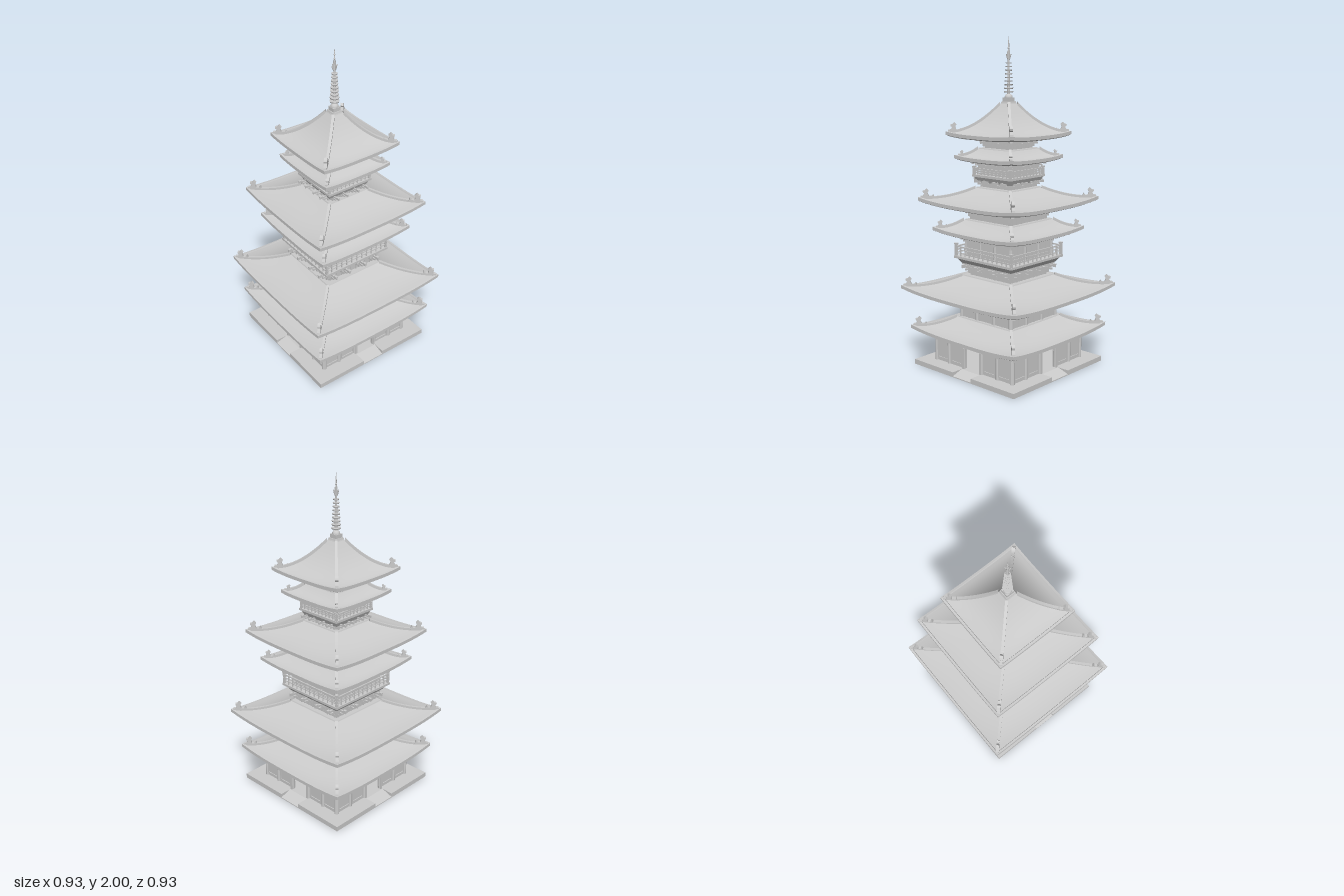
import * as THREE from 'three';
import { mergeGeometries, toCreasedNormals } from 'three/addons/utils/BufferGeometryUtils.js';

const material = new THREE.MeshStandardMaterial({ color: 0xcccccc, side: THREE.DoubleSide });

const box = (w, h, d, x = 0, y = 0, z = 0) => new THREE.BoxGeometry(w, h, d).translate(x, y, z);

function add(parent, name, geo) {
  const mesh = new THREE.Mesh(geo, material);
  mesh.name = name;
  parent.add(mesh);
  return mesh;
}

// Repeats a part on all four sides (or on the four diagonals)
function ring(parent, name, geo, offset = 0) {
  for (let k = 0; k < 4; k++) add(parent, name, geo).rotation.y = offset + k * Math.PI / 2;
}

// Flat silhouette in the x-y plane, given thickness and centred on z = 0
function slab(points, depth) {
  const shape = new THREE.Shape(points.map(p => new THREE.Vector2(p[0], p[1])));
  return new THREE.ExtrudeGeometry(shape, { depth, bevelEnabled: false }).translate(0, 0, -depth / 2);
}

// Square frustum: half widths a (bottom) and b (top)
function flare(a, b, y0, y1) {
  return new THREE.CylinderGeometry(b * Math.SQRT2, a * Math.SQRT2, y1 - y0, 4).toNonIndexed()
    .rotateY(Math.PI / 4).translate(0, (y0 + y1) / 2, 0);
}
const addFlare = (parent, name, a, b, y0, y1) => {
  const geo = flare(a, b, y0, y1);
  geo.computeVertexNormals();
  return add(parent, name, geo);
};

// Curved hip roof: y = underside of the eave, R = eave half width, r = top half width
function roof(parent, name, { y, R, top, r, wall, guard = 0.062 }) {
  const group = new THREE.Group();
  group.name = name;
  parent.add(group);
  const rim = 0.026, start = y + 0.022;
  const lift = (q, u) => 0.05 * R * Math.pow(q / R, 4) * Math.pow(Math.abs(u), 3);
  const slope = t => [R - 0.016 + (r - R + 0.016) * t, start + (top - start) * (0.25 * t + 0.75 * t * t)];
  const rows = [[wall, y + 0.016], [R * 0.82, y + 0.014], [R * 0.82, y + 0.006], [R - 0.016, y + 0.006],
    [R - 0.014, y], [R, y + 0.006], [R, y + rim], [R - 0.013, y + rim + 0.002]];
  for (let i = 0; i <= 12; i++) rows.push(slope(i / 12));

  // One side, lofted row by row
  const n = 16, positions = [], index = [];
  rows.forEach(([q, h], j) => {
    for (let i = 0; i <= n; i++) {
      const u = i / n * 2 - 1;
      positions.push(u * q, h + lift(q, u), q);
      if (i < n && j < rows.length - 1) {
        const a = j * (n + 1) + i, d = a + n + 1;
        index.push(a, a + 1, d + 1, a, d + 1, d);
      }
    }
  });
  let side = new THREE.BufferGeometry();
  side.setAttribute('position', new THREE.Float32BufferAttribute(positions, 3));
  side.setIndex(index);
  ring(group, 'roofSlope', toCreasedNormals(side.toNonIndexed(), 0.4));

  // Hip ridges following the slope
  const upper = [], lower = [];
  for (let i = 0; i <= 12; i++) {
    const [q, h] = slope(i / 12);
    upper.push([q * Math.SQRT2, h + lift(q, 1) + 0.012]);
    lower.unshift([q * Math.SQRT2, h + lift(q, 1) - 0.006]);
  }
  ring(group, 'hipRidge', slab([...upper, ...lower], 0.016), Math.PI / 4);

  // Curled guardian figures at the corners
  const silhouette = [[-1.1, 0.1], [-0.95, 0.5], [-0.75, 0.3], [-0.45, 0.3], [-0.3, 0.65], [-0.45, 0.9], [-0.2, 1.15],
    [0, 0.95], [0.25, 0.9], [0.2, 0.7], [0.05, 0.6], [0.2, 0.35], [0.5, 0.3], [0.55, 0]];
  const s = guard * 0.85, edge = (R - 0.03) * Math.SQRT2;
  const figure = slab(silhouette.map(p => [p[0] * s, p[1] * s]), 0.018);
  ring(group, 'cornerFigure', figure.translate(edge, start + lift(R, 1) * 0.8, 0), Math.PI / 4);

  // Hip rafters below the corners
  const tip = (R - 0.04) * Math.SQRT2, inner = wall * Math.SQRT2;
  ring(group, 'hipRafter', slab([[inner, y - 0.012], [tip - 0.05, y - 0.008], [tip - 0.05, y],
    [tip, y + 0.004], [tip, y + 0.02], [inner, y + 0.02]], 0.018), Math.PI / 4);

  // Raised collar closing the top
  addFlare(group, 'roofCollar', r + 0.004, r - 0.004, top - 0.012, top + 0.006);
}

// Stacked bracket set, bottom at y = 0, wall face at z = 0
function bracketSet(h, w) {
  const b = w * 0.2, parts = [box(b, h * 0.3, 0.024, 0, h * 0.15, 0.006)];
  parts.push(box(w * 0.6, h * 0.2, 0.012, 0, h * 0.4, 0.01), box(w, h * 0.2, 0.012, 0, h * 0.75, 0.014));
  parts.push(box(b * 0.6, h * 0.2, 0.05, 0, h * 0.42, 0.02), box(b * 0.6, h * 0.2, 0.08, 0, h * 0.75, 0.035));
  for (const x of [-0.4, 0, 0.4]) {
    parts.push(box(b, h * 0.15, 0.024, x * w, h * 0.925, 0.016));
    parts.push(box(b * 0.8, h * 0.15, 0.022, x * w * 0.6, h * 0.57, 0.012));
  }
  parts.push(box(b, h * 0.15, 0.02, 0, h * 0.92, 0.065));
  return mergeGeometries(parts);
}

function brackets(parent, wall, xs, y, h, w) {
  ring(parent, 'brackets', mergeGeometries(xs.map(x => bracketSet(h, w).translate(x, y, wall))));
}

function columns(parent, wall, xs, y0, y1, radius) {
  const posts = xs.map(x => new THREE.CylinderGeometry(radius, radius, y1 - y0, 12).translate(x, (y0 + y1) / 2, wall));
  ring(parent, 'columns', mergeGeometries(posts));
}

const mirror = (...xs) => xs.flatMap(x => [-x, x]);

// Platform with railing
function balcony(parent, R, y, h, posts) {
  addFlare(parent, 'balconySupport', R * 0.86, R * 0.95, y - 0.045, y - 0.014);
  add(parent, 'balconyFloor', box(2 * R, 0.014, 2 * R, 0, y - 0.007, 0));
  const z = R - 0.01, parts = [];
  for (const [f, t] of [[0.3, 0.005], [0.6, 0.005], [0.9, 0.008]]) parts.push(box(2 * R, t, t, 0, y + f * h, z));
  for (let i = 1; i < posts; i++) parts.push(box(0.006, h * 0.9, 0.006, (i / posts * 2 - 1) * z, y + h * 0.45, z));
  parts.push(box(0.014, h * 1.15, 0.014, z, y + h * 0.57, z), box(0.02, 0.008, 0.02, z, y + h * 1.15, z));
  ring(parent, 'railing', mergeGeometries(parts));
}

// Square storey with beams, window frames and mullions
function storey(parent, name, wall, y0, y1, bays) {
  const group = new THREE.Group();
  group.name = name;
  parent.add(group);
  const h = y1 - y0, step = 2 * wall / bays;
  add(group, 'walls', box(2 * wall, h, 2 * wall, 0, (y0 + y1) / 2, 0));
  const parts = [box(2 * wall + 0.01, 0.01, 0.012, 0, y0 + 0.005, wall), box(2 * wall + 0.01, 0.01, 0.012, 0, y1 - 0.005, wall)];
  for (let i = 0; i < bays; i++) {
    const x = -wall + (i + 0.5) * step;
    parts.push(box(0.005, h, 0.008, x, (y0 + y1) / 2, wall));
    for (const e of [-0.36, 0.36]) parts.push(box(0.006, h, 0.008, x + e * step, (y0 + y1) / 2, wall));
  }
  ring(group, 'frames', mergeGeometries(parts));
  return group;
}

function groundFloor(parent) {
  const group = new THREE.Group();
  group.name = 'groundFloor';
  parent.add(group);
  // Plinth with a ramp notched into each side
  const P = 0.41, n = 0.075, d = 0.335, corner = [[n, d], [n, P], [P, P], [P, n], [d, n]], plan = [];
  for (let k = 0; k < 4; k++) {
    const c = Math.round(Math.cos(k * Math.PI / 2)), s = Math.round(Math.sin(k * Math.PI / 2));
    [...corner].reverse().forEach(([x, z]) => plan.push([x * c - z * s, x * s + z * c]));
  }
  add(group, 'plinth', slab(plan, 0.03).rotateX(-Math.PI / 2).translate(0, 0.015, 0));
  ring(group, 'ramp', slab([[d, 0], [P, 0], [P, 0.006], [d, 0.03]], 2 * n));
  // Walls around four doorways
  const w = 0.315, door = 0.067, parts = [box(2 * door, 0.03, 0.016, 0, 0.175, w - 0.008)];
  for (const m of [-1, 1]) {
    parts.push(box(w - door, 0.16, 0.016, m * (w + door) / 2, 0.11, w - 0.008));
    parts.push(box(0.012, 0.13, 0.03, m * (door + 0.004), 0.095, w));
    for (const x of [0.135, 0.255]) {
      parts.push(box(0.09, 0.008, 0.01, m * x, 0.155, w), box(0.09, 0.008, 0.01, m * x, 0.05, w));
      for (const e of [-0.043, 0.043]) parts.push(box(0.006, 0.105, 0.01, m * x + e, 0.102, w));
    }
  }
  parts.push(box(2 * w, 0.012, 0.022, 0, 0.166, w));
  ring(group, 'doorWall', mergeGeometries(parts));
  add(group, 'ceiling', box(2 * w, 0.06, 2 * w, 0, 0.21, 0));
  columns(group, w, mirror(0.073, 0.2, 0.31), 0.03, 0.18, 0.011);
  brackets(group, w, mirror(0.073, 0.2, 0.31), 0.17, 0.045, 0.075);
}

function finial(parent) {
  const group = new THREE.Group();
  group.name = 'finial';
  parent.add(group);
  addFlare(group, 'finialBase', 0.036, 0.03, 1.59, 1.615);
  add(group, 'finialBox', box(0.05, 0.025, 0.05, 0, 1.625, 0));
  add(group, 'finialDome', new THREE.SphereGeometry(0.024, 16, 6, 0, Math.PI * 2, 0, Math.PI / 2).translate(0, 1.637, 0));
  add(group, 'mast', new THREE.CylinderGeometry(0.003, 0.01, 0.34, 10).translate(0, 1.80, 0));
  for (let i = 0; i < 9; i++) {
    const r = 0.029 - i * 0.0014;
    add(group, 'mastRing', new THREE.CylinderGeometry(r, r * 0.9, 0.007, 16).translate(0, 1.67 + i * 0.021, 0));
  }
  const flame = slab([[0, 1.85], [0.013, 1.865], [0.022, 1.89], [0.011, 1.885], [0.009, 1.91], [0, 1.9]], 0.003);
  ring(group, 'flame', flame);
  for (const [y, r] of [[1.925, 0.006], [1.95, 0.005]]) add(group, 'jewel', new THREE.SphereGeometry(r, 10, 8).translate(0, y, 0));
  add(group, 'spike', new THREE.ConeGeometry(0.004, 0.06, 8).translate(0, 1.97, 0));
}

export function createModel() {
  const model = new THREE.Group();
  model.name = 'pagoda';

  groundFloor(model);
  roof(model, 'firstRoof', { y: 0.205, R: 0.425, top: 0.3, r: 0.225, wall: 0.3 });

  const second = storey(model, 'secondStorey', 0.205, 0.29, 0.475, 3);
  columns(second, 0.205, mirror(0.07, 0.2), 0.3, 0.45, 0.01);
  brackets(second, 0.205, mirror(0.07, 0.2), 0.425, 0.045, 0.075);
  roof(model, 'secondRoof', { y: 0.455, R: 0.465, top: 0.56, r: 0.2, wall: 0.2 });

  const third = storey(model, 'thirdStoreyBase', 0.165, 0.55, 0.64, 3);
  brackets(third, 0.165, mirror(0.06, 0.16), 0.58, 0.06, 0.075);
  balcony(model, 0.235, 0.685, 0.065, 12);
  const fourth = storey(model, 'thirdStorey', 0.185, 0.68, 0.84, 3);
  columns(fourth, 0.185, mirror(0.06, 0.18), 0.685, 0.8, 0.008);
  brackets(fourth, 0.185, mirror(0.06, 0.18), 0.775, 0.05, 0.07);
  roof(model, 'thirdRoof', { y: 0.822, R: 0.325, top: 0.905, r: 0.19, wall: 0.18, guard: 0.05 });

  const fifth = storey(model, 'fourthStorey', 0.165, 0.9, 1.02, 3);
  brackets(fifth, 0.165, mirror(0.06, 0.155), 0.93, 0.07, 0.075);
  roof(model, 'fourthRoof', { y: 1.0, R: 0.385, top: 1.1, r: 0.14, wall: 0.16 });

  const sixth = storey(model, 'fifthStoreyBase', 0.11, 1.09, 1.16, 3);
  brackets(sixth, 0.11, mirror(0.04, 0.105), 1.11, 0.045, 0.055);
  balcony(model, 0.155, 1.182, 0.04, 10);
  const seventh = storey(model, 'fifthStorey', 0.12, 1.18, 1.28, 3);
  brackets(seventh, 0.12, mirror(0.04, 0.115), 1.225, 0.04, 0.055);
  roof(model, 'fifthRoof', { y: 1.262, R: 0.23, top: 1.335, r: 0.13, wall: 0.11, guard: 0.036 });

  const eighth = storey(model, 'sixthStorey', 0.1, 1.32, 1.42, 3);
  brackets(eighth, 0.1, mirror(0.035, 0.095), 1.35, 0.055, 0.05);
  roof(model, 'topRoof', { y: 1.4, R: 0.265, top: 1.6, r: 0.036, wall: 0.095 });

  finial(model);
  return model;
}
